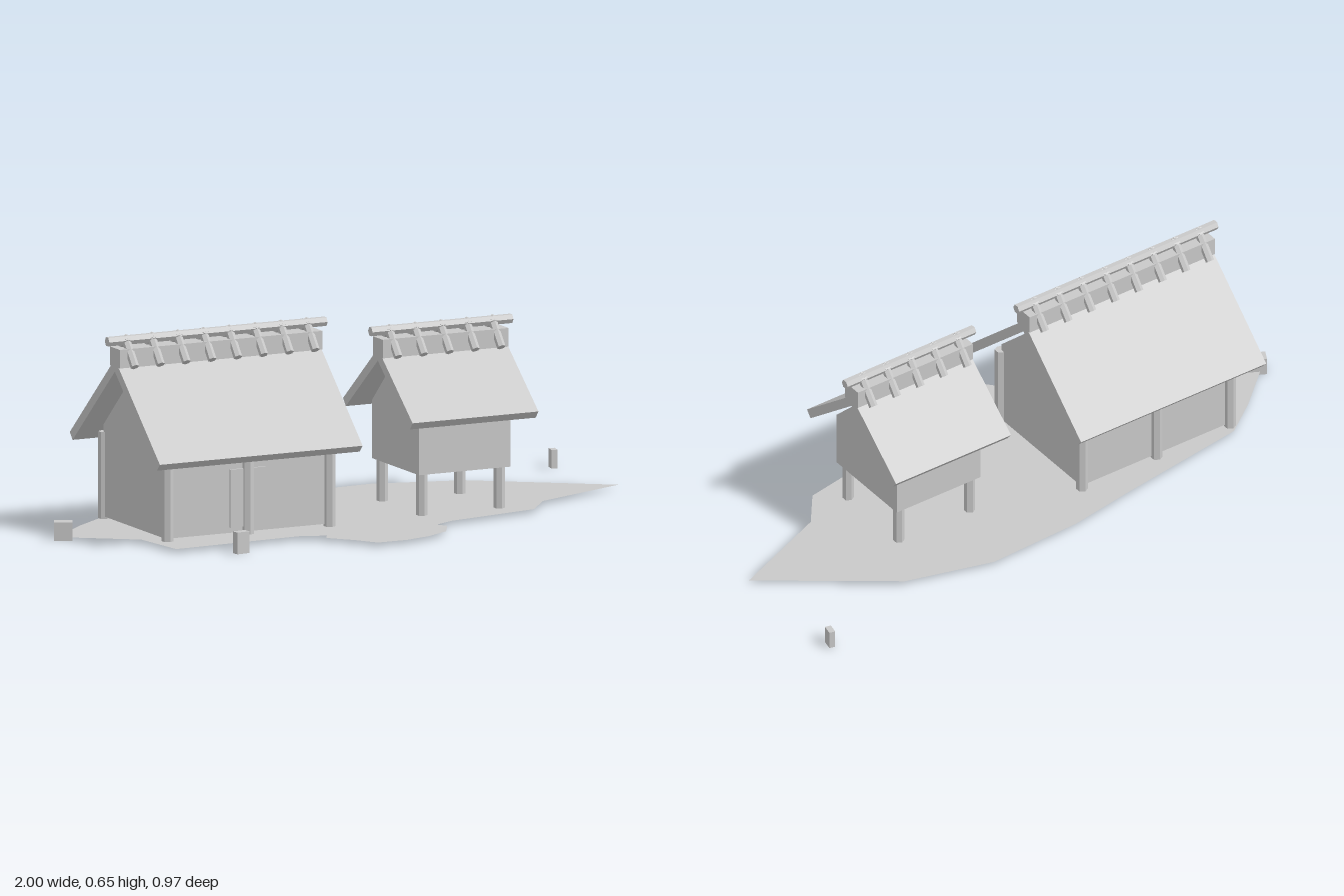
import * as THREE from 'three';

const grey = new THREE.MeshStandardMaterial({ color: 0xc8c8c8 });
grey.name = 'plain grey';
const greySheet = new THREE.MeshStandardMaterial({ color: 0xc8c8c8, side: THREE.DoubleSide });
greySheet.name = 'plain grey sheet';

function add(parent, name, geometry, x = 0, y = 0, z = 0, material = grey) {
  const mesh = new THREE.Mesh(geometry, material);
  mesh.name = name;
  mesh.position.set(x, y, z);
  parent.add(mesh);
  return mesh;
}

// Six-sided flat-faced log along y
const log = (r, h) => new THREE.CylinderGeometry(r, r, h, 6).toNonIndexed();
function facetedLog(r, h) {
  const g = log(r, h);
  g.computeVertexNormals();
  return g;
}

// Extrudes a (z, y) profile along x, centred on x
function prism(points, length) {
  const shape = new THREE.Shape(points.map(([z, y]) => new THREE.Vector2(-z, y)));
  return new THREE.ExtrudeGeometry(shape, { depth: length, bevelEnabled: false })
    .translate(0, 0, -length / 2).rotateY(Math.PI / 2);
}

// Gabled building; every height is absolute and z is relative to the ridge
function building(name, o) {
  const house = new THREE.Group();
  house.name = name;
  house.position.set(o.x, 0, o.z);

  // Gabled walls
  const w = o.wall;
  add(house, 'walls', prism([
    [-w.half, w.bottom], [w.half, w.bottom], [w.half, w.eave], [0, w.peak], [-w.half, w.eave],
  ], w.length), w.x);

  // Folded roof slab
  const r = o.roof;
  const len = Math.hypot(r.half, r.peak - r.eave);
  const cos = r.half / len, sin = (r.peak - r.eave) / len, t = 0.03;
  add(house, 'roof', prism([
    [r.half, r.eave], [0, r.peak], [-r.half, r.eave],
    [-r.half + t * sin, r.eave - t * cos], [0, r.peak - t / cos], [r.half - t * sin, r.eave - t * cos],
  ], r.length));

  // Ridge cap and ridge pole
  add(house, 'ridgeCap', new THREE.BoxGeometry(r.length, 0.06, 0.07), 0, o.poleY - 0.053);
  add(house, 'ridgePole', facetedLog(0.016, o.poleLength).rotateZ(Math.PI / 2), 0, o.poleY);

  // Pairs of crossing sticks over the ridge
  for (let i = 0; i < o.sticks; i++) {
    const x = (i - (o.sticks - 1) / 2) * 0.0916;
    for (const s of [-1, 1]) {
      const stick = add(house, 'ridgeStick', facetedLog(0.014, 0.112), x, o.poleY - 0.0335, s * 0.0275);
      stick.rotation.x = -s * Math.atan2(0.071, 0.087);
    }
  }

  // Posts along both long sides
  for (const x of o.post.xs) for (const s of [-1, 1]) {
    const p = o.post;
    add(house, 'post', facetedLog(p.r, p.top - p.bottom), x, (p.top + p.bottom) / 2, s * p.z);
  }
  return house;
}

export function createModel() {
  const model = new THREE.Group();
  model.name = 'thatchedBuildings';

  // Thin ground patch, outline in (x, z)
  const outline = [
    [1, -0.055], [0.6, -0.345], [0.31, -0.425], [-0.02, -0.41], [-0.25, -0.37], [-0.71, -0.3],
    [-0.83, -0.21], [-0.99, -0.065], [-0.77, 0.095], [-0.745, 0.29], [-0.3, 0.27], [-0.215, 0.3],
    [-0.235, 0.335], [-0.17, 0.41], [-0.125, 0.48], [-0.02, 0.48], [0.07, 0.455], [0.155, 0.405],
    [0.2, 0.325], [0.18, 0.29], [0.25, 0.255], [0.575, 0.195], [0.66, 0.085],
  ];
  const shape = new THREE.Shape(outline.map(([x, z]) => new THREE.Vector2(x, -z)));
  add(model, 'ground', new THREE.ShapeGeometry(shape).rotateX(-Math.PI / 2), 0, 0.012, 0, greySheet);

  // Large house
  const house = building('largeHouse', {
    x: -0.43, z: -0.05, poleY: 0.629, poleLength: 0.775, sticks: 8,
    wall: { x: 0, half: 0.217, bottom: 0.022, eave: 0.318, peak: 0.52, length: 0.58 },
    roof: { half: 0.315, eave: 0.283, peak: 0.571, length: 0.72 },
    post: { xs: [-0.285, 0, 0.29], r: 0.019, bottom: 0.015, top: 0.295, z: 0.222 },
  });
  add(house, 'door', new THREE.BoxGeometry(0.127, 0.187, 0.009), 0, 0.133, 0.22);
  model.add(house);

  // Raised storehouse on stilts
  model.add(building('raisedStorehouse', {
    x: 0.35, z: -0.016, poleY: 0.589, poleLength: 0.5, sticks: 5,
    wall: { x: 0.002, half: 0.164, bottom: 0.146, eave: 0.334, peak: 0.494, length: 0.325 },
    roof: { half: 0.243, eave: 0.332, peak: 0.532, length: 0.447 },
    post: { xs: [-0.137, 0.138], r: 0.018, bottom: 0.008, top: 0.15, z: 0.138 },
  }));

  // Small marker stones: x, z, width, height, depth, turn
  for (const [x, z, w, h, d, turn] of [
    [-0.963, -0.07, 0.06, 0.06, 0.04, -0.47],
    [-0.563, 0.386, 0.045, 0.07, 0.027, 0.12],
    [0.978, -0.467, 0.02, 0.06, 0.035, -0.2],
  ]) add(model, 'markerStone', new THREE.BoxGeometry(w, h, d), x, h / 2, z).rotation.y = turn;

  return model;
}
